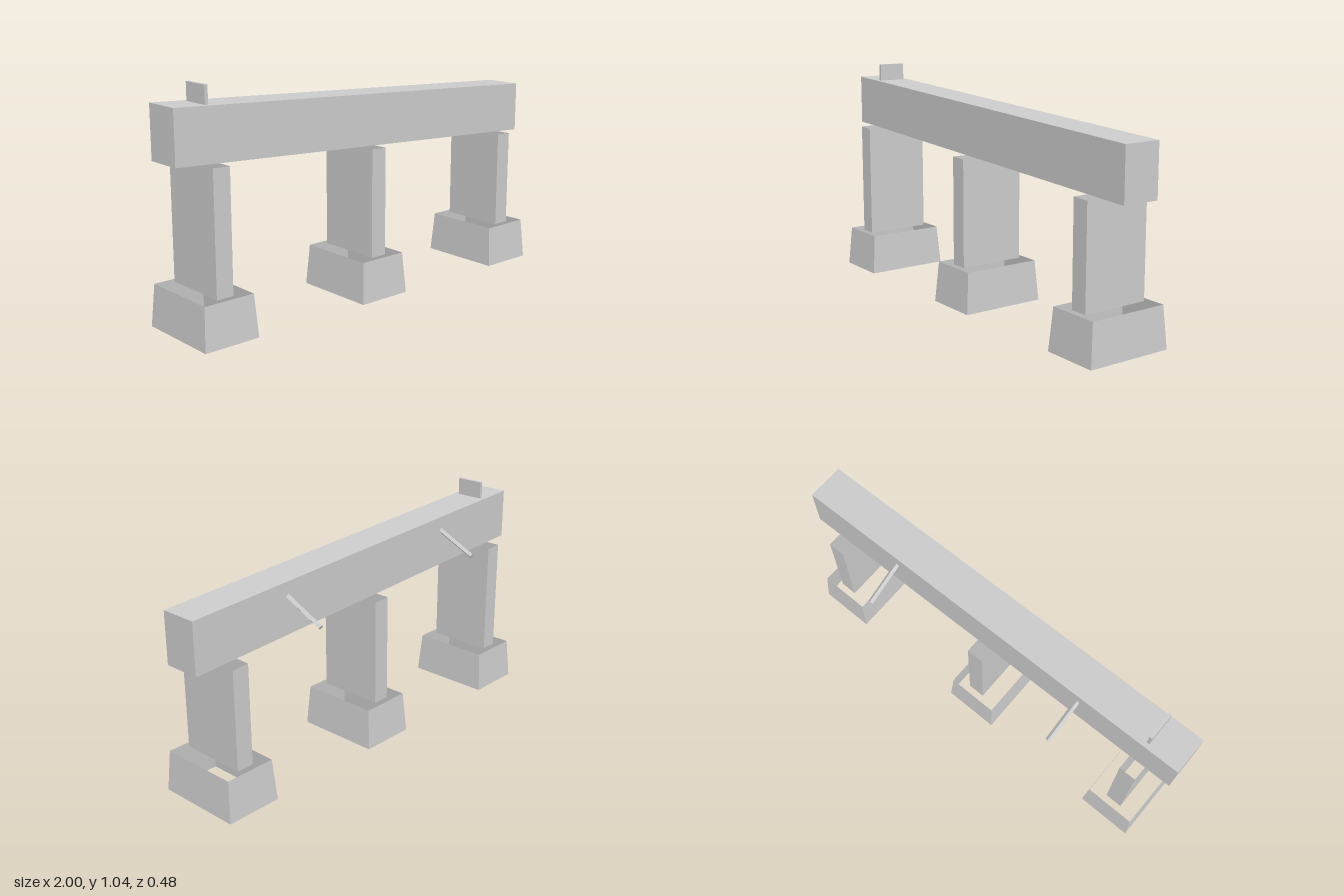
import * as THREE from 'three';

const material = new THREE.MeshStandardMaterial({ color: 0xcccccc, flatShading: true });
const openMaterial = new THREE.MeshStandardMaterial({ color: 0xcccccc, flatShading: true, side: THREE.DoubleSide });

// Underside of the sloping beam at x
const beamBottom = x => 0.682 - 0.05 * x;

// Four walls without caps; half sizes [x, z] at the bottom and top
function openBox(name, bottom, top, y0, topAt) {
  const geometry = new THREE.CylinderGeometry(1, 1, 1, 4, 1, true).rotateY(Math.PI / 4);
  const p = geometry.attributes.position;
  for (let i = 0; i < p.count; i++) {
    const isTop = p.getY(i) > 0;
    const half = isTop ? top : bottom;
    const x = Math.sign(p.getX(i)) * half[0];
    p.setXYZ(i, x, isTop ? topAt(x) : y0, Math.sign(p.getZ(i)) * half[1]);
  }
  geometry.computeVertexNormals();
  const mesh = new THREE.Mesh(geometry, openMaterial);
  mesh.name = name;
  return mesh;
}

export function createModel() {
  const model = new THREE.Group();
  model.name = 'beamOnPiers';

  // Sloping beam with upright ends
  const side = new THREE.Shape([[-1, 0.732], [1, 0.632], [1, 0.865], [-1, 0.965]]
    .map(([x, y]) => new THREE.Vector2(x, y)));
  const beam = new THREE.Mesh(
    new THREE.ExtrudeGeometry(side, { depth: 0.172, bevelEnabled: false }).translate(0, 0, -0.047), material);
  beam.name = 'beam';
  model.add(beam);

  // Three piers: a hollow column over a tapered open footing
  for (const x of [-0.836, -0.002, 0.832]) {
    const pier = new THREE.Group();
    pier.name = 'pier';
    pier.position.set(x, 0, 0.04);
    pier.add(
      openBox('footing', [0.131, 0.2], [0.119, 0.185], 0, () => 0.188),
      openBox('column', [0.04, 0.155], [0.04, 0.155], 0.188, dx => beamBottom(x + dx)));
    model.add(pier);
  }

  // Two square rods, turned on edge, sloping down behind the beam
  for (const x of [-0.5, 0.5]) {
    const start = new THREE.Vector3(x, 0.857 - 0.05 * x, -0.03);
    const end = new THREE.Vector3(x, 0.763 - 0.05 * x, -0.231);
    const rod = new THREE.Mesh(
      new THREE.BoxGeometry(0.017, 0.017, start.distanceTo(end)).rotateZ(Math.PI / 4), material);
    rod.name = 'backRod';
    rod.position.copy(start).lerp(end, 0.5);
    rod.lookAt(end);
    model.add(rod);
  }

  // Upright plate on the high end
  const plate = new THREE.Mesh(new THREE.BoxGeometry(0.015, 0.095, 0.13), material);
  plate.name = 'topPlate';
  plate.position.set(-0.836, 0.989, 0.04);
  model.add(plate);

  return model;
}
